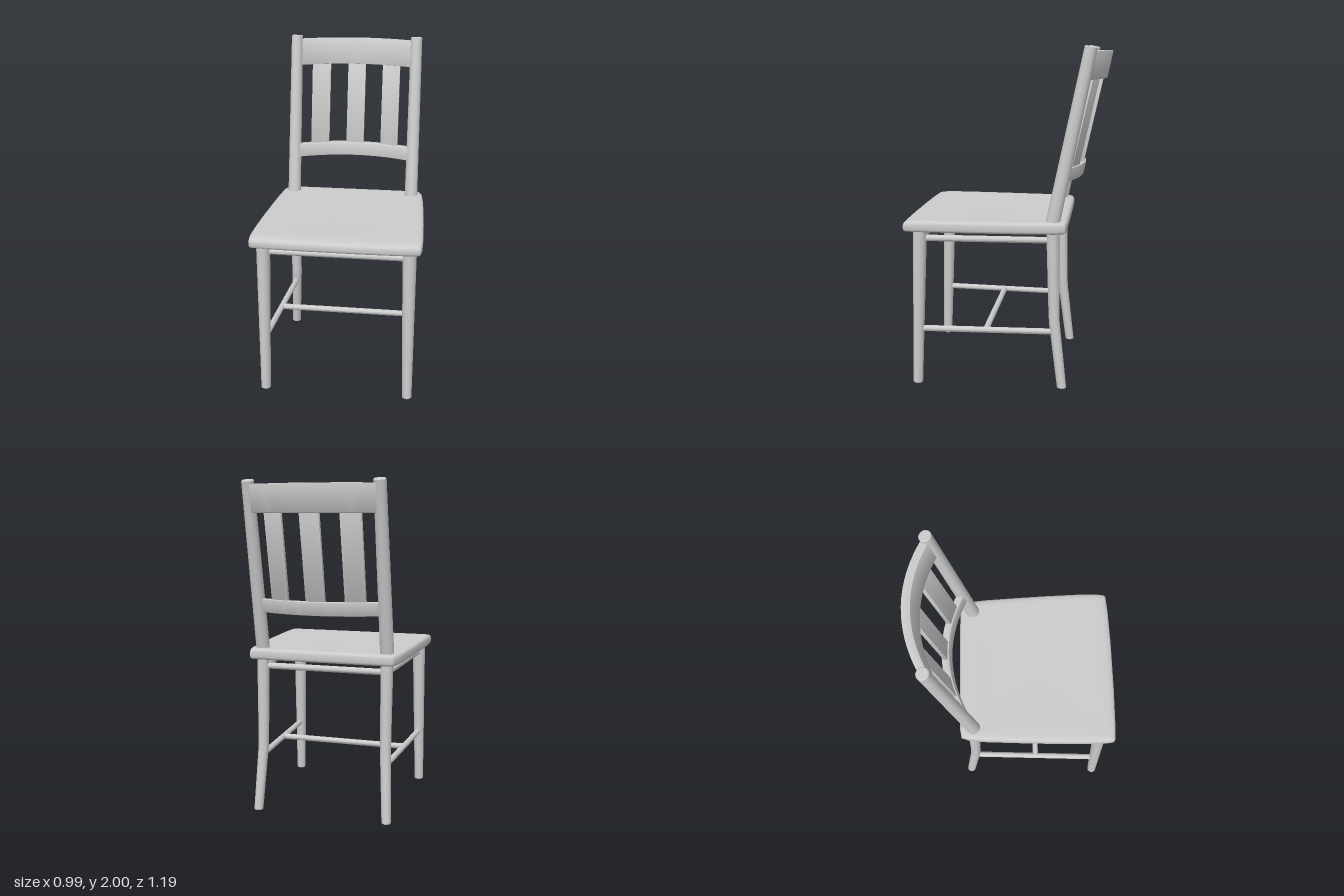
import * as THREE from 'three';
import { toCreasedNormals } from 'three/addons/utils/BufferGeometryUtils.js';

const V = (x, y, z) => new THREE.Vector3(x, y, z);
const wood = new THREE.MeshStandardMaterial({ color: 0xcccccc });
wood.name = 'paintedWood';

function add(group, name, geometry) {
  const mesh = new THREE.Mesh(geometry, wood);
  mesh.name = name;
  group.add(mesh);
  return mesh;
}

// Turned profile: [radius, height] stations with small chamfers at both ends
function turned(stations, sides = 24) {
  const c = 0.005;
  const [r0, h0] = stations[0];
  const [r1, h1] = stations[stations.length - 1];
  const pts = [[0, h0], [r0 - c, h0], [r0, h0 + c], ...stations.slice(1, -1), [r1, h1 - c], [r1 - c, h1], [0, h1]];
  return new THREE.LatheGeometry(pts.map(([r, h]) => new THREE.Vector2(r, h)), sides);
}

// Tapered round rod between two points
function rod(a, b, r0, r1 = r0) {
  const dir = b.clone().sub(a);
  const geo = turned([[r0, 0], [r1, dir.length()]]);
  geo.applyQuaternion(new THREE.Quaternion().setFromUnitVectors(V(0, 1, 0), dir.normalize()));
  geo.translate(a.x, a.y, a.z);
  return toCreasedNormals(geo, 0.6);
}

// Rear leg: straight at the seat, splaying out and back towards the floor
function rearLeg(side) {
  const heights = [0, 0.1, 0.2, 0.28, 0.34, 0.39, 0.44, 0.6, 0.97];
  const geo = turned(heights.map(h => [0.028 + 0.01 * h, h]));
  const p = geo.attributes.position;
  for (let i = 0; i < p.count; i++) {
    const y = p.getY(i);
    const splay = Math.max(0, 0.41 - y) / 0.41;
    p.setX(i, p.getX(i) + side * (0.385 + 0.02 * splay));
    p.setZ(i, p.getZ(i) - 0.28 - 0.025 * (0.97 - y) - 0.04 * splay);
  }
  return toCreasedNormals(geo, 0.6);
}

// Bowed board following the curve of the back, leaning backwards with height.
// zBack is the rear face at the middle of the bow, at the top of the board.
function bowedBoard(x0, x1, y0, y1, zBack, thick, lean, bevel) {
  const n = 16;
  const bow = x => 0.69 * x * x;
  const rear = [], front = [];
  for (let i = 0; i <= n; i++) {
    const x = x0 + bevel + (x1 - x0 - 2 * bevel) * i / n;
    rear.push(new THREE.Vector2(x, -(zBack + bevel + bow(x))));
    front.unshift(new THREE.Vector2(x, -(zBack + thick - bevel + bow(x))));
  }
  const geo = new THREE.ExtrudeGeometry(new THREE.Shape([...rear, ...front]), {
    depth: y1 - y0 - 2 * bevel, bevelEnabled: true, bevelThickness: bevel, bevelSize: bevel, bevelSegments: 2,
  });
  geo.rotateX(-Math.PI / 2);
  geo.translate(0, y0 + bevel, 0);
  const p = geo.attributes.position;
  for (let i = 0; i < p.count; i++) p.setZ(i, p.getZ(i) + lean * (y1 - p.getY(i)));
  return toCreasedNormals(geo, 0.6);
}

// Seat: rings of one outline, rolled at the edge and slightly dished on top
function seatGeometry() {
  const half = [[0.2, -0.363], [0.40, -0.362], [0.44, -0.355], [0.456, -0.31], [0.468, -0.2], [0.479, 0], [0.488, 0.2],
    [0.494, 0.4], [0.494, 0.52], [0.488, 0.572], [0.478, 0.58], [0.36, 0.588], [0.15, 0.593]];
  const outline = [...half, ...half.slice().reverse().map(([x, z]) => [-x, z])];
  const zc = 0.115, n = outline.length;
  // [inset from the outline, height]
  const rings = [[0.5, 0.945], [0.012, 0.945], [0.003, 0.95], [0, 0.96], [0, 0.992], [0.004, 1.003], [0.014, 1.009],
    [0.04, 1.01], [0.09, 1.009], [0.18, 1.006], [0.3, 1.004], [0.4, 1.003], [0.5, 1.003]];
  const pos = [], idx = [];
  rings.forEach(([inset, y]) => outline.forEach(([x, z]) => {
    const zz = zc + (z - zc) * (1 - inset / 0.5);
    const roll = y > 0.98 ? 0.012 * Math.max(0, (zz - 0.48) / 0.11) ** 2 : 0;
    pos.push(x * (1 - inset / 0.5), y - roll, zz);
  }));
  for (let r = 0; r < rings.length - 1; r++) {
    for (let i = 0; i < n; i++) {
      const a = r * n + i, b = r * n + (i + 1) % n;
      idx.push(a, a + n, b, b, a + n, b + n);
    }
  }
  const geo = new THREE.BufferGeometry();
  geo.setAttribute('position', new THREE.Float32BufferAttribute(pos, 3));
  geo.setIndex(idx);
  return toCreasedNormals(geo, 0.9);
}

export function createModel() {
  const chair = new THREE.Group();
  chair.name = 'chair';

  add(chair, 'seat', seatGeometry());

  // Legs, back posts and side rails, mirrored left and right
  for (const s of [1, -1]) {
    const side = s > 0 ? 'left' : 'right';
    add(chair, side + 'FrontLeg', rod(V(s * 0.431, 0, 0.523), V(s * 0.422, 0.97, 0.492), 0.029, 0.041));
    add(chair, side + 'RearLeg', rearLeg(s));
    add(chair, side + 'BackPost', rod(V(s * 0.386, 0.965, -0.273), V(s * 0.383, 1.994, -0.481), 0.041, 0.036));
    add(chair, side + 'SeatRail', rod(V(s * 0.42, 0.897, 0.485), V(s * 0.387, 0.897, -0.275), 0.019));
    add(chair, side + 'Stretcher', rod(V(s * 0.427, 0.343, 0.505), V(s * 0.389, 0.343, -0.29), 0.018));
  }

  // Rails under the seat and the cross stretcher
  add(chair, 'frontSeatRail', rod(V(-0.41, 0.897, 0.492), V(0.41, 0.897, 0.492), 0.019));
  add(chair, 'rearSeatRail', rod(V(-0.38, 0.897, -0.28), V(0.38, 0.897, -0.28), 0.019));
  add(chair, 'crossStretcher', rod(V(-0.408, 0.343, 0.11), V(0.408, 0.343, 0.11), 0.018));

  // Bowed back rails and slats
  add(chair, 'topRail', bowedBoard(-0.385, 0.385, 1.81, 1.97, -0.6, 0.05, 0.2, 0.006));
  add(chair, 'lowerRail', bowedBoard(-0.385, 0.385, 1.23, 1.312, -0.452, 0.045, 0.2, 0.006));
  for (const x of [-0.227, 0, 0.227]) {
    add(chair, 'backSlat', bowedBoard(x - 0.057, x + 0.057, 1.28, 1.84, -0.553, 0.024, 0.215, 0.003));
  }
  return chair;
}
